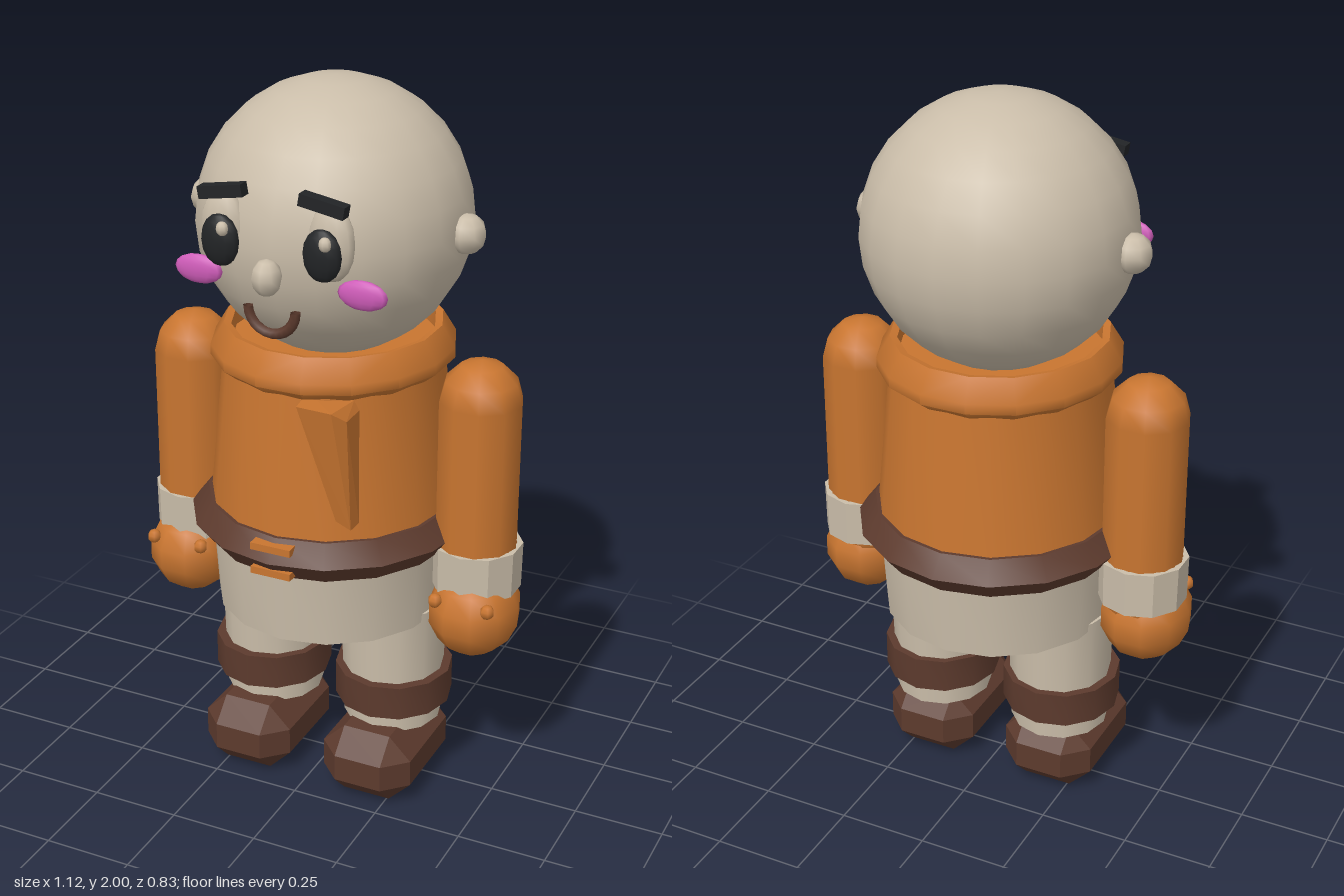
import * as THREE from 'three';
import { toCreasedNormals } from 'three/addons/utils/BufferGeometryUtils.js';
import { ConvexGeometry } from 'three/addons/geometries/ConvexGeometry.js';

const material = (name, color, flatShading = false) => {
  const m = new THREE.MeshStandardMaterial({ color, flatShading, side: THREE.DoubleSide });
  m.name = name;
  return m;
};

// Box with every edge cut off by c, given half sizes
function chamferedBox(hx, hy, hz, c) {
  const points = [];
  for (const x of [-1, 1]) for (const y of [-1, 1]) for (const z of [-1, 1]) {
    points.push(
      new THREE.Vector3(x * hx, y * (hy - c), z * (hz - c)),
      new THREE.Vector3(x * (hx - c), y * hy, z * (hz - c)),
      new THREE.Vector3(x * (hx - c), y * (hy - c), z * hz));
  }
  return new ConvexGeometry(points);
}

// Turned shape from [radius, height] pairs
function turned(profile, sides, crease = 0.6) {
  const points = profile.map(([r, y]) => new THREE.Vector2(r, y));
  return toCreasedNormals(new THREE.LatheGeometry(points, sides), crease);
}

export function createModel() {
  const model = new THREE.Group();
  model.name = 'figure';
  const beige = material('beige', 0xcabda9);
  const orange = material('orange', 0xc87530);
  const brown = material('brown', 0x5c3a2d);
  const black = material('black', 0x222426);
  const pink = material('pink', 0xcf5cb9);

  function add(name, geometry, mat, x = 0, y = 0, z = 0, parent = model) {
    const mesh = new THREE.Mesh(geometry, mat);
    mesh.name = name;
    mesh.position.set(x, y, z);
    parent.add(mesh);
    return mesh;
  }
  function ball(name, mat, x, y, z, rx, ry, rz, w = 12, h = 8, parent = model) {
    const mesh = add(name, new THREE.SphereGeometry(1, w, h), mat, x, y, z, parent);
    mesh.scale.set(rx, ry, rz);
    return mesh;
  }

  // Torso, collar, belt and skirt, slightly deeper than wide
  const body = new THREE.Group();
  body.name = 'body';
  body.position.z = -0.01;
  body.scale.z = 1.04;
  model.add(body);
  add('torso', turned([[0, 0.8], [0.34, 0.8], [0.292, 1.3], [0, 1.3]], 16), orange, 0, 0, 0, body);
  const collar = add('collar', turned([[0.27, 1.27], [0.272, 1.345], [0.292, 1.35], [0.328, 1.29],
    [0.328, 1.262], [0.295, 1.235]], 16, 0.9), orange, 0, 0, 0, body);
  collar.rotation.y = Math.PI / 16;
  add('belt', turned([[0.32, 0.742], [0.345, 0.74], [0.39, 0.797], [0.345, 0.853], [0.32, 0.853]], 16, 0.7),
    brown, 0, 0, 0, body);
  add('skirt', turned([[0, 0.535], [0.322, 0.535], [0.336, 0.76], [0, 0.76]], 16), beige, 0, 0, 0, body);

  // Buckle frame poking through the belt
  for (const y of [0.832, 0.762]) {
    add('buckleBar', new THREE.BoxGeometry(0.115, 0.02, 0.05), orange, 0, y, 0.355);
  }

  // Slanted tapered flap on the chest
  const flap = [
    [0.045, 1.235, 0.24], [0.175, 1.235, 0.24], [0.06, 1.235, 0.34], [0.165, 1.24, 0.355],
    [0.165, 0.91, 0.24], [0.2, 0.9, 0.26], [0.15, 0.91, 0.295], [0.195, 0.895, 0.3],
    [0.192, 1.21, 0.32], [0.19, 1.21, 0.24],
  ].map(p => new THREE.Vector3(...p));
  add('chestFlap', new ConvexGeometry(flap), orange);

  // Head
  ball('head', beige, 0, 1.635, -0.015, 0.365, 0.365, 0.368, 20, 14);
  ball('nose', beige, 0, 1.583, 0.375, 0.04, 0.048, 0.04, 8, 6);
  const mouth = add('mouth', new THREE.TorusGeometry(0.066, 0.014, 6, 12, Math.PI), brown, 0, 1.493, 0.35);
  mouth.rotation.z = Math.PI;

  const bootShape = chamferedBox(0.133, 0.1025, 0.193, 0.064);
  const legShape = turned([[0, 0.19], [0.138, 0.19], [0.148, 0.56], [0, 0.56]], 12);
  const bandShape = turned([[0.13, 0.25], [0.164, 0.25], [0.164, 0.348], [0.13, 0.348], [0.13, 0.25]], 12);
  const cuffShape = turned([[0.1, 0.645], [0.122, 0.645], [0.124, 0.775], [0.108, 0.775]], 10);
  const armShape = new THREE.CapsuleGeometry(0.113, 0.53, 3, 10);

  // Everything that comes in pairs
  for (const s of [-1, 1]) {
    const side = s > 0 ? 'left' : 'right';

    // Face
    ball(side + 'Ear', beige, s * 0.37, 1.632, -0.012, 0.052, 0.053, 0.053, 8, 6);
    ball(side + 'Eye', beige, s * 0.148, 1.675, 0.315, 0.063, 0.1, 0.036);
    ball(side + 'Pupil', black, s * 0.14, 1.653, 0.352, 0.053, 0.068, 0.026);
    ball(side + 'EyeGlint', beige, s * 0.14 + 0.017, 1.69, 0.372, 0.017, 0.019, 0.014, 8, 6);
    ball(side + 'Cheek', pink, s * 0.228, 1.55, 0.307, 0.068, 0.039, 0.018);
    const brow = add(side + 'Brow', new THREE.BoxGeometry(0.123, 0.032, 0.034), black, s * 0.138, 1.777, 0.338);
    brow.rotation.z = -s * 0.17;

    // Arm, cuff and mitten
    add(side + 'Arm', armShape, orange, s * 0.425, 0.922, -0.008);
    add(side + 'Cuff', cuffShape, beige, s * 0.427, 0, -0.01);
    ball(side + 'Mitten', orange, s * 0.434, 0.58, 0.012, 0.127, 0.13, 0.143, 10, 7);
    for (const dx of [-0.075, 0.075]) {
      ball(side + 'MittenKnob', orange, s * 0.434 + dx, 0.635, 0.115, 0.02, 0.02, 0.022, 6, 5);
    }

    // Leg, band and boot
    const leg = add(side + 'Leg', legShape, beige, s * 0.187, 0, -0.008);
    leg.scale.z = 1.04;
    const band = add(side + 'LegBand', bandShape, brown, s * 0.19, 0, -0.005);
    band.scale.z = 1.04;
    add(side + 'Boot', bootShape, brown, s * 0.187, 0.1025, 0.042);
  }
  return model;
}
